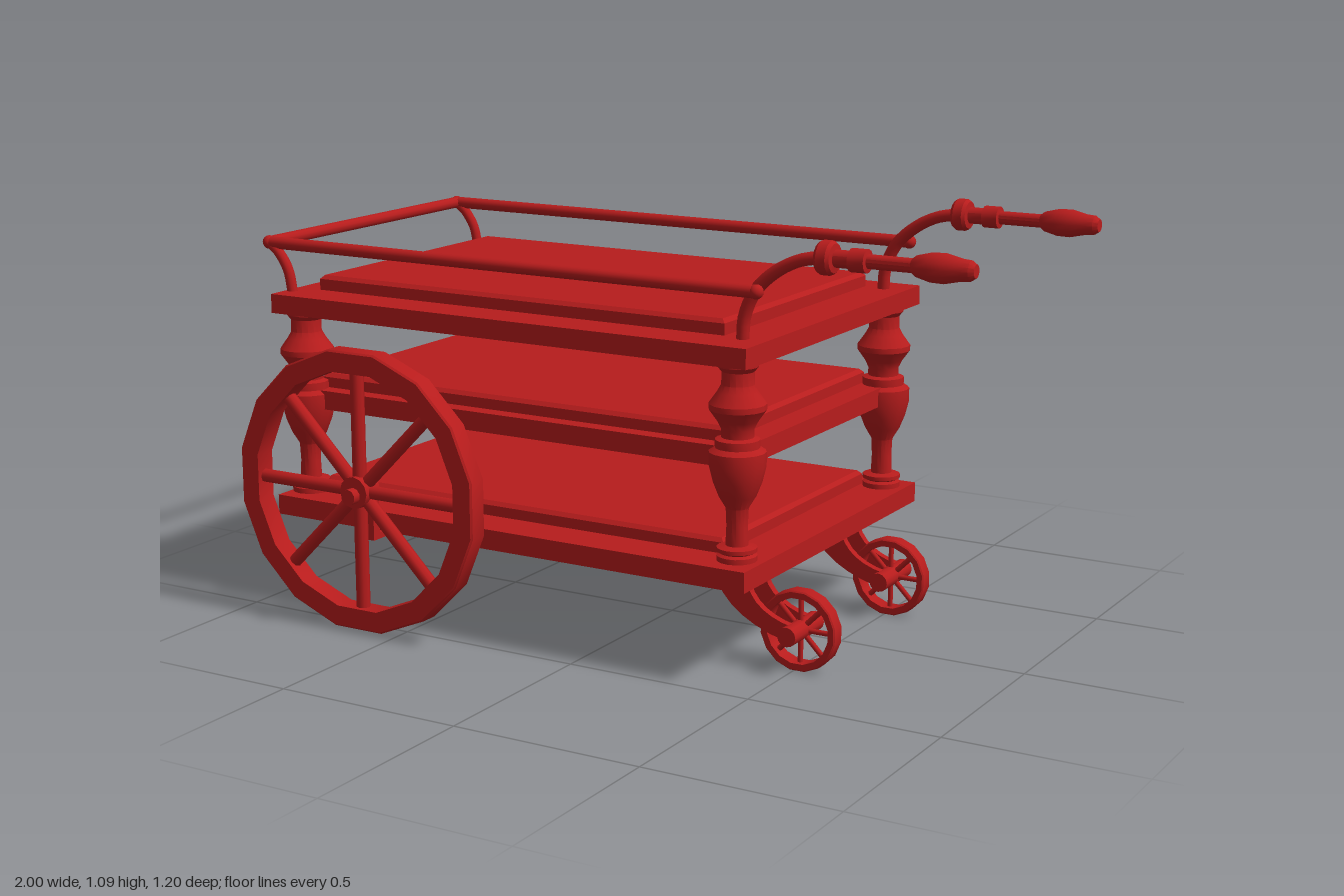
import * as THREE from 'three';
import { toCreasedNormals } from 'three/addons/utils/BufferGeometryUtils.js';

const red = new THREE.MeshStandardMaterial({ color: 0xb71c1c });
const MID_Z = -0.015; // the body sits slightly off the wheel centre line
const v3 = (x, y, z) => new THREE.Vector3(x, y, z);

function add(parent, name, geometry, x = 0, y = 0, z = 0) {
  const mesh = new THREE.Mesh(geometry, red);
  mesh.name = name;
  mesh.position.set(x, y, z);
  parent.add(mesh);
  return mesh;
}

// Box given by its extents
function slab(parent, name, x0, x1, y0, y1, z0, z1) {
  return add(parent, name, new THREE.BoxGeometry(x1 - x0, y1 - y0, z1 - z0),
    (x0 + x1) / 2, (y0 + y1) / 2, (z0 + z1) / 2);
}

// Turned shape from [radius, height] pairs
function turned(points, segments) {
  const g = new THREE.LatheGeometry(points.map(([r, h]) => new THREE.Vector2(r, h)), segments);
  return toCreasedNormals(g, 0.6);
}

function tube(points, radius, segments = 12) {
  return new THREE.TubeGeometry(new THREE.CatmullRomCurve3(points), segments, radius, 10);
}

// Spoked wheel with its axle along z
function wheel(name, radius, inner, width, spokeRadius, hubRadius, segments) {
  const group = new THREE.Group();
  group.name = name;
  const h = width / 2, c = width * 0.08;
  const rim = turned([[inner, -h], [radius - c, -h], [radius, -h + c], [radius, h - c],
    [radius - c, h], [inner, h], [inner, -h]], segments);
  rim.rotateY(Math.PI / segments).rotateX(Math.PI / 2);
  add(group, 'rim', rim);
  for (let i = 0; i < 4; i++) {
    const spoke = new THREE.CylinderGeometry(spokeRadius, spokeRadius, 2 * inner + 0.01, 8);
    add(group, 'spokePair', spoke).rotation.z = i * Math.PI / 4;
  }
  add(group, 'hub', new THREE.CylinderGeometry(hubRadius, hubRadius, width, 12).rotateX(Math.PI / 2));
  return group;
}

// Raised panel with softened edges on top of a shelf
function panel(parent, name, y0, y1) {
  const b = 0.01, x0 = -0.858 + b, x1 = 0.355 - b, z = 0.385 - b;
  const shape = new THREE.Shape([[x0, -z], [x1, -z], [x1, z], [x0, z]].map(p => new THREE.Vector2(...p)));
  const g = new THREE.ExtrudeGeometry(shape, {
    depth: y1 - y0 - b, bevelThickness: b, bevelSize: b, bevelSegments: 1 });
  add(parent, name, g.rotateX(-Math.PI / 2), 0, y0, MID_Z - 0.008);
}

function createShelves(cart) {
  slab(cart, 'bottomShelf', -0.93, 0.475, 0.253, 0.305, -0.489, 0.476);
  slab(cart, 'middleShelf', -0.905, 0.425, 0.535, 0.585, -0.435, 0.405);
  slab(cart, 'topShelf', -0.93, 0.475, 0.795, 0.845, -0.489, 0.476);
  panel(cart, 'bottomPanel', 0.3, 0.342);
  panel(cart, 'middlePanel', 0.58, 0.622);
  panel(cart, 'topPanel', 0.84, 0.884);
}

function createPosts(cart) {
  const profile = [[0, 0.3], [0.05, 0.3], [0.05, 0.318], [0.04, 0.323], [0.05, 0.328], [0.05, 0.338],
    [0.028, 0.343], [0.026, 0.39], [0.028, 0.435], [0.046, 0.465], [0.06, 0.5], [0.07, 0.54],
    [0.07, 0.575], [0.055, 0.585], [0.055, 0.605], [0.04, 0.61], [0.04, 0.63], [0.05, 0.65],
    [0.07, 0.678], [0.07, 0.692], [0.05, 0.72], [0.04, 0.738], [0.04, 0.77], [0.05, 0.782],
    [0.05, 0.797], [0, 0.797]];
  const geometry = turned(profile, 16);
  for (const x of [-0.888, 0.407])
    for (const s of [1, -1]) add(cart, 'turnedPost', geometry, x, 0, MID_Z + s * 0.403);
}

function createRails(cart) {
  const y = 0.968, r = 0.016, zs = [1, -1].map(s => MID_Z + s * 0.424);
  for (const z of zs) {
    add(cart, 'sideRail', tube([v3(-0.984, y, z), v3(0.465, y, z)], r, 1));
    add(cart, 'railLeg', tube([v3(-0.984, y, z), v3(-0.955, 0.945, z), v3(-0.925, 0.9, z), v3(-0.912, 0.84, z)], 0.014));
    for (const x of [-0.984, 0.465]) add(cart, 'railEnd', new THREE.SphereGeometry(0.018, 12, 8), x, y, z);
  }
  add(cart, 'endRail', tube([v3(-0.984, y, zs[1]), v3(-0.984, y, zs[0])], r, 1));
}

function createHandles(cart) {
  // Collar, ring, shaft and grip, turned along x
  const profile = [[0, 0.61], [0.035, 0.61], [0.041, 0.618], [0.041, 0.642], [0.035, 0.65],
    [0.021, 0.652], [0.021, 0.69], [0.028, 0.692], [0.028, 0.733], [0.017, 0.735], [0.017, 0.845],
    [0.025, 0.855], [0.034, 0.89], [0.035, 0.925], [0.026, 0.965], [0.024, 0.988], [0.016, 1], [0, 1]];
  const grip = turned(profile, 14).rotateZ(-Math.PI / 2);
  for (const s of [1, -1]) {
    const z = MID_Z + s * 0.387;
    add(cart, 'handleArm', tube([v3(0.41, 0.84, z), v3(0.415, 0.9, z), v3(0.445, 0.965, z),
      v3(0.5, 1.015, z), v3(0.56, 1.045, z), v3(0.62, 1.057, z)], 0.016, 18));
    add(cart, 'handleGrip', grip, 0, 1.057, z);
    // Short link between rail and arm
    add(cart, 'railLink', tube([v3(0.448, 0.968, z), v3(0.448, 0.968, z + s * 0.04)], 0.012, 1));
  }
}

function createLargeWheels(cart) {
  for (const s of [1, -1]) {
    const w = wheel('largeWheel', 0.372, 0.315, 0.058, 0.018, 0.042, 16);
    w.position.set(-0.602, 0.377, s * 0.548);
    cart.add(w);
    add(cart, 'axle', new THREE.CylinderGeometry(0.021, 0.021, 0.1, 10).rotateX(Math.PI / 2), -0.602, 0.37, s * 0.55);
    const outer = s * 0.522, inner = s * 0.497, end = s * 0.375;
    slab(cart, 'axleBracket', -0.622, -0.582, 0.24, 0.38, Math.min(outer, inner), Math.max(outer, inner));
    slab(cart, 'bracketFoot', -0.622, -0.582, 0.24, 0.256, Math.min(inner, end), Math.max(inner, end));
  }
}

function createCasters(cart) {
  // Curved fork plate, drawn from the side
  const shape = new THREE.Shape();
  shape.moveTo(0.3, 0.215);
  shape.quadraticCurveTo(0.345, 0.12, 0.5, 0.085);
  shape.lineTo(0.515, 0.125);
  shape.quadraticCurveTo(0.41, 0.145, 0.388, 0.215);
  const fork = new THREE.ExtrudeGeometry(shape, { depth: 0.02, bevelEnabled: false, curveSegments: 6 });
  fork.translate(0, 0, -0.01);
  for (const s of [1, -1]) {
    const z = MID_Z - 0.001 + s * 0.259;
    slab(cart, 'casterMount', 0.216, 0.388, 0.213, 0.255, z - 0.086, z + 0.086);
    for (const t of [1, -1]) add(cart, 'casterFork', fork, 0, 0, z + t * 0.045);
    add(cart, 'casterAxle', new THREE.CylinderGeometry(0.025, 0.025, 0.155, 12).rotateX(Math.PI / 2), 0.508, 0.105, z);
    const w = wheel('casterWheel', 0.104, 0.085, 0.042, 0.007, 0.022, 16);
    w.position.set(0.508, 0.104, z);
    cart.add(w);
  }
}

export function createModel() {
  const cart = new THREE.Group();
  cart.name = 'servingCart';
  createShelves(cart);
  createPosts(cart);
  createRails(cart);
  createHandles(cart);
  createLargeWheels(cart);
  createCasters(cart);
  return cart;
}
